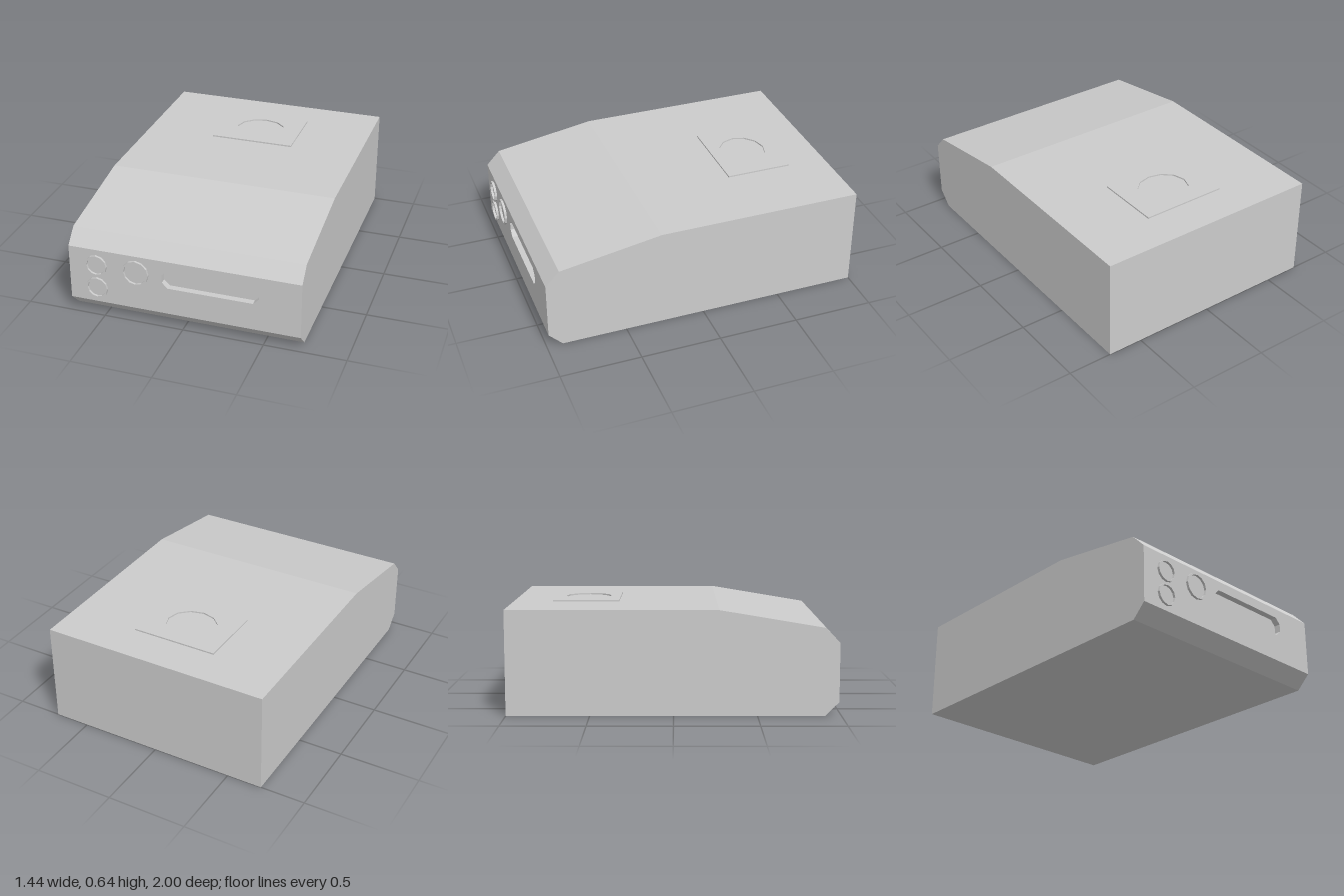
import * as THREE from 'three';

const grey = new THREE.MeshStandardMaterial({ color: 0xcccccc });
grey.name = 'plain grey';

// closed path through a few points
function outline(points, Type = THREE.Shape) {
  return new Type(points.map(([x, y]) => new THREE.Vector2(x, y)));
}

// corners of a regular or stretched polygon
function polygon(cx, cy, rx, ry, sides) {
  return Array.from({ length: sides }, (_, i) => {
    const a = (i / sides) * Math.PI * 2;
    return [cx + rx * Math.cos(a), cy + ry * Math.sin(a)];
  });
}

// flat plate with an optional hole, extruded along +z
function plate(name, points, hole, depth) {
  const shape = outline(points);
  if (hole) shape.holes.push(outline(hole, THREE.Path));
  const geometry = new THREE.ExtrudeGeometry(shape, { depth, bevelEnabled: false });
  const mesh = new THREE.Mesh(geometry, grey);
  mesh.name = name;
  return mesh;
}

const rect = (x0, y0, x1, y1) => [[x0, y0], [x1, y0], [x1, y1], [x0, y1]];

export function createModel() {
  const model = new THREE.Group();
  model.name = 'deviceCase';

  const halfWidth = 0.72, top = 0.635, front = 0.985, recess = 0.945;
  const faceLow = 0.085, faceHigh = 0.44;

  // case: side profile in (-z, y), swept across the width, with a seat for the front panel
  const profile = [
    [-1, 0], [0.9, 0], [front, faceLow], [recess, faceLow], [recess, faceHigh],
    [front, faceHigh], [0.9, 0.53], [0.27, top], [-1, top],
  ].map(([z, y]) => [-z, y]);
  const body = plate('body', profile, null, halfWidth * 2);
  body.rotation.y = Math.PI / 2;
  body.position.x = -halfWidth;
  model.add(body);

  // front panel with the chamfered slot cut through it
  const c = 0.035, x0 = -0.13, x1 = 0.465, y0 = 0.26, y1 = 0.38;
  const slot = [
    [x0 + c, y0], [x1 - c, y0], [x1, y0 + c], [x1, y1 - c],
    [x1 - c, y1], [x0 + c, y1], [x0, y1 - c], [x0, y0 + c],
  ];
  const panel = plate('frontPanel', rect(-halfWidth, faceLow, halfWidth, faceHigh), slot, front - recess);
  panel.position.z = recess;
  model.add(panel);

  // raised rings around the three front sockets
  const rings = [
    ['upperSocketRing', -0.545, 0.337, 0.068, 0.058],
    ['lowerSocketRing', -0.545, 0.185, 0.068, 0.058],
    ['largeSocketRing', -0.295, 0.33, 0.083, 0.072],
  ];
  for (const [name, x, y, outer, inner] of rings) {
    const ring = plate(name, polygon(x, y, outer, outer, 12), polygon(x, y, inner, inner, 12), 0.015);
    ring.position.z = front;
    model.add(ring);
  }

  // thin plate on the roof with a round opening
  const roof = plate('roofPlate', rect(-0.27, 0.34, 0.27, 0.755), polygon(0, 0.547, 0.16, 0.145, 12), 0.009);
  roof.rotation.x = -Math.PI / 2;
  roof.position.y = top;
  model.add(roof);

  return model;
}
